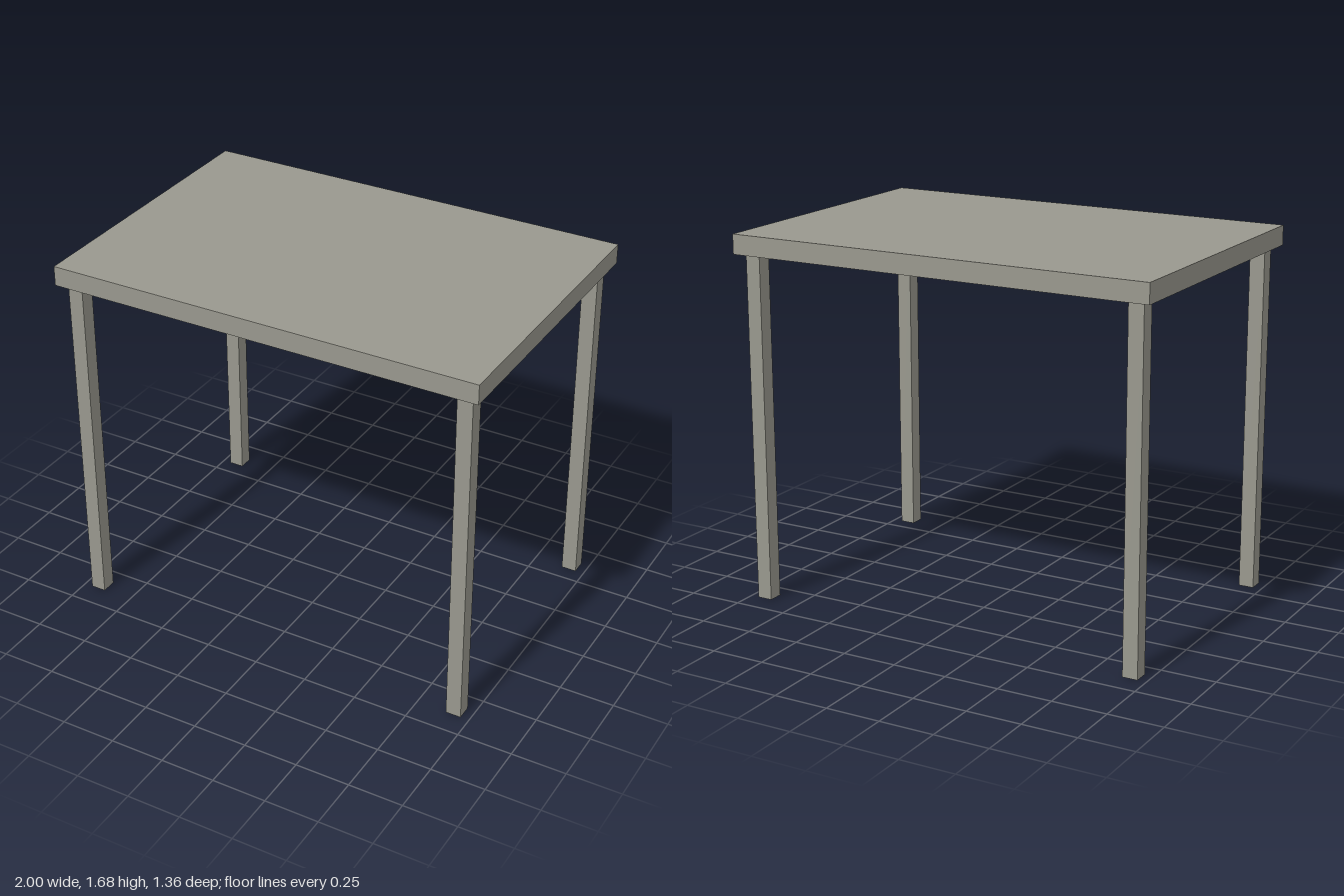
import * as THREE from 'three';

export function createModel() {
  const table = new THREE.Group();
  table.name = 'table';

  const paint = new THREE.MeshStandardMaterial({ color: 0x99988e });
  paint.name = 'warm grey';

  const topBase = 1.595, topThickness = 0.09, legWidth = 0.07;

  function addBox(name, size, position) {
    const mesh = new THREE.Mesh(new THREE.BoxGeometry(...size), paint);
    mesh.name = name;
    mesh.position.set(...position);
    table.add(mesh);
  }

  // Slab top
  addBox('tableTop', [2, topThickness, 1.364], [0, topBase + topThickness / 2, 0]);

  // Four square legs, set in slightly from the corners
  for (const [zName, z] of [['front', 1], ['back', -1]]) {
    for (const [xName, x] of [['Left', 1], ['Right', -1]]) {
      addBox(`${zName}${xName}Leg`, [legWidth, topBase, legWidth], [x * 0.925, topBase / 2, z * 0.609]);
    }
  }

  return table;
}
